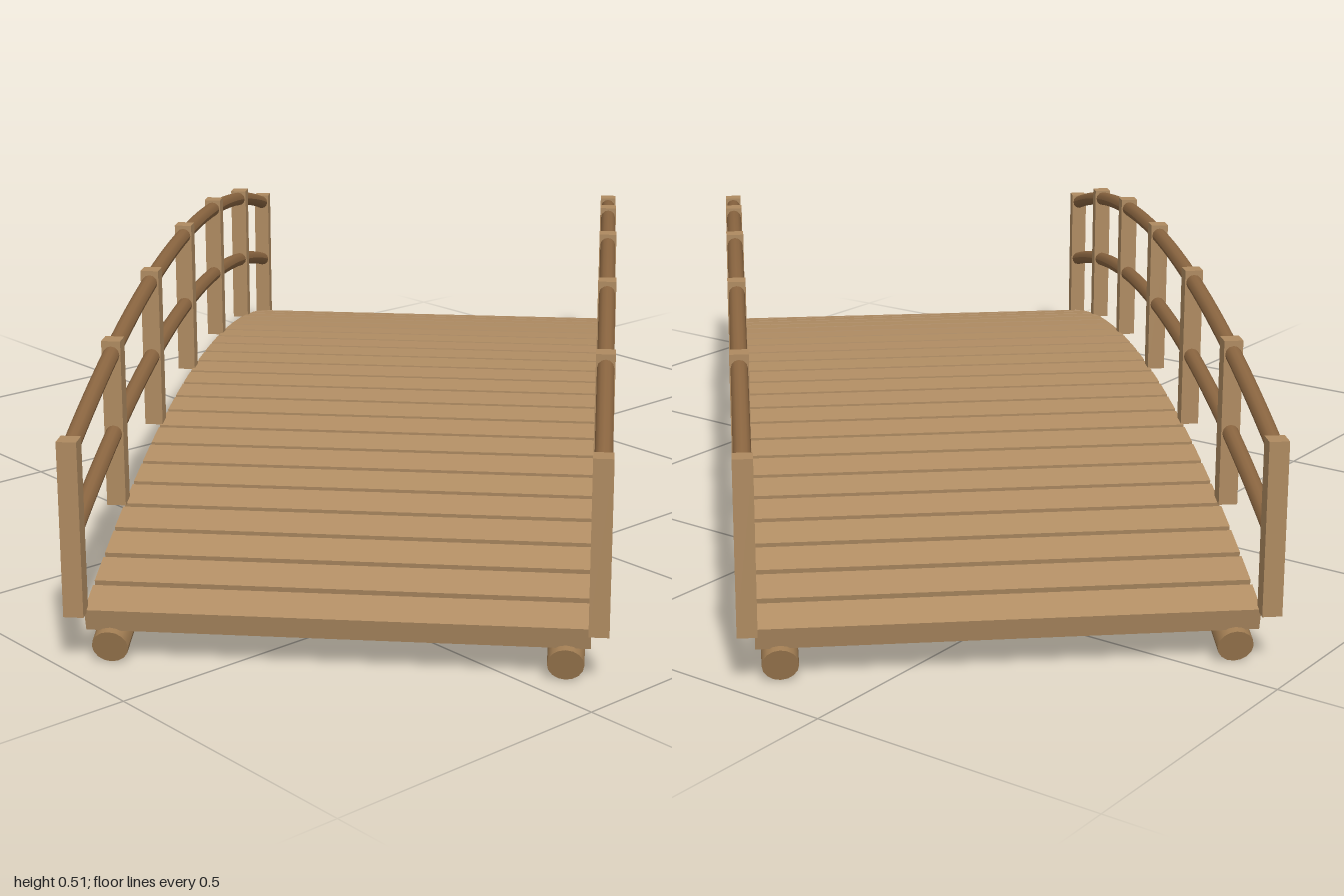
import * as THREE from 'three';

const HALF = 0.948;        // half distance between the end posts
const SIDE = 0.408;        // distance of the railings from the centre line
const PLANKS = 25;

// Height and slope of the walking surface along the span
const deckY = (s) => 0.222 - 0.132 * (s / HALF) ** 2;
const deckSlope = (s) => -0.264 * s / (HALF * HALF);

const plankWood = new THREE.MeshStandardMaterial({ color: 0xb28e64 });
plankWood.name = 'plank wood';
const postWood = new THREE.MeshStandardMaterial({ color: 0xae8a60 });
postWood.name = 'post wood';
const railWood = new THREE.MeshStandardMaterial({ color: 0x8a6540 });
railWood.name = 'rail wood';
const beamWood = new THREE.MeshStandardMaterial({ color: 0xa07c52 });
beamWood.name = 'beam wood';

// Round pole with closed ends, bent to follow the arch at a given offset
function bentPole(radius, half, offset, sides) {
  const geo = new THREE.CylinderGeometry(radius, radius, half * 2, sides, 36);
  geo.rotateZ(-Math.PI / 2);
  const p = geo.attributes.position;
  for (let i = 0; i < p.count; i++) {
    const s = p.getX(i);
    const y = p.getY(i);
    const a = Math.atan(deckSlope(s));
    p.setXY(i, s - Math.sin(a) * y, deckY(s) + offset + Math.cos(a) * y);
  }
  geo.computeVertexNormals();
  return geo;
}

function add(group, name, geo, material, x = 0, y = 0, z = 0) {
  const mesh = new THREE.Mesh(geo, material);
  mesh.name = name;
  mesh.position.set(x, y, z);
  group.add(mesh);
  return mesh;
}

export function createModel() {
  const model = new THREE.Group();
  model.name = 'archedFootbridge';
  const bridge = new THREE.Group();
  bridge.name = 'bridge';
  bridge.rotation.y = THREE.MathUtils.degToRad(42.5);
  model.add(bridge);

  // Deck planks, each tilted to the arch
  const deck = new THREE.Group();
  deck.name = 'deck';
  bridge.add(deck);
  const thickness = 0.038;
  const plankGeo = new THREE.BoxGeometry(0.066, thickness, 0.792);
  for (let i = 0; i < PLANKS; i++) {
    const s = -0.906 + (1.812 * i) / (PLANKS - 1);
    const plank = add(deck, 'plank', plankGeo, plankWood, s, deckY(s) - thickness / 2);
    plank.rotation.z = Math.atan(deckSlope(s));
  }

  const beamGeo = bentPole(0.029, 0.938, -0.063, 16);
  const upperRailGeo = bentPole(0.014, 0.955, 0.265, 12);
  const lowerRailGeo = bentPole(0.014, 0.955, 0.128, 12);
  const postGeo = new THREE.BoxGeometry(0.032, 0.287, 0.032);

  for (const side of [-1, 1]) {
    // Log beam under the deck
    add(bridge, 'beam', beamGeo, beamWood, 0, 0, side * 0.358);

    // Railing: seven posts and two bent rails
    const railing = new THREE.Group();
    railing.name = 'railing';
    railing.position.z = side * SIDE;
    bridge.add(railing);
    for (let i = -3; i <= 3; i++) {
      const s = (HALF * i) / 3;
      add(railing, 'post', postGeo, postWood, s, deckY(s) + 0.1415);
    }
    add(railing, 'upperRail', upperRailGeo, railWood);
    add(railing, 'lowerRail', lowerRailGeo, railWood);
  }
  return model;
}
